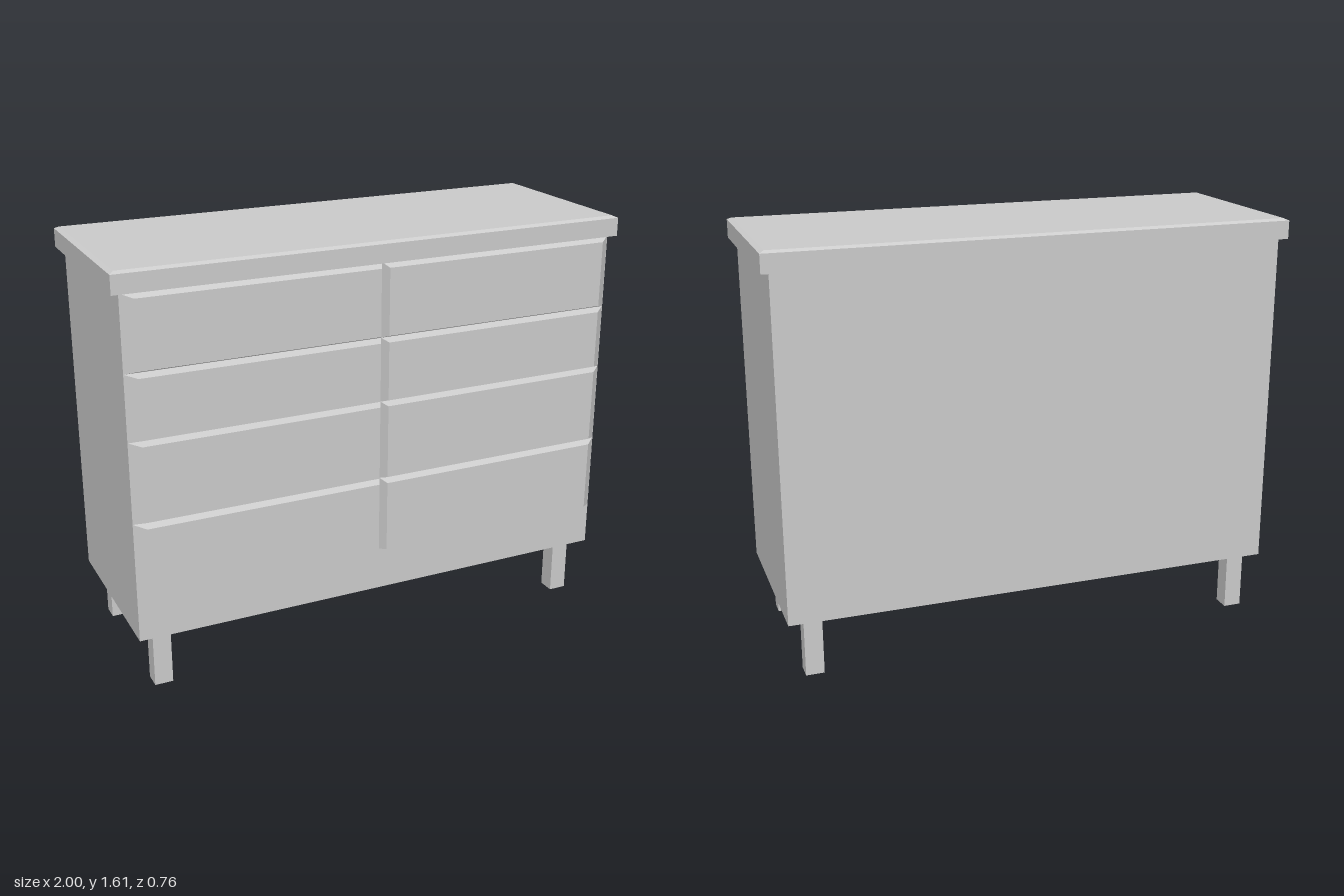
import * as THREE from 'three';

const material = new THREE.MeshStandardMaterial({ color: 0xcccccc, flatShading: true });
const openMaterial = new THREE.MeshStandardMaterial({ color: 0xcccccc, flatShading: true, side: THREE.DoubleSide });

// Box from [min, max] ranges; reshape(p) may move each corner
function block(name, x, y, z, reshape) {
  const g = new THREE.BoxGeometry(x[1] - x[0], y[1] - y[0], z[1] - z[0]);
  g.translate((x[0] + x[1]) / 2, (y[0] + y[1]) / 2, (z[0] + z[1]) / 2);
  if (reshape) {
    const pos = g.attributes.position;
    const p = new THREE.Vector3();
    for (let i = 0; i < pos.count; i++) {
      reshape(p.fromBufferAttribute(pos, i));
      pos.setXYZ(i, p.x, p.y, p.z);
    }
    g.computeVertexNormals();
  }
  const mesh = new THREE.Mesh(g, material);
  mesh.name = name;
  return mesh;
}

export function createModel() {
  const model = new THREE.Group();
  model.name = 'chestOfDrawers';

  // Carcass
  model.add(block('body', [-0.97, 0.97], [0.225, 1.53], [-0.36, 0.345]));

  // Top slab with a shallow bevel around its upper face
  model.add(block('topSlab', [-1, 1], [1.53, 1.6], [-0.38, 0.365]));
  model.add(block('topBevel', [-1, 1], [1.6, 1.608], [-0.38, 0.365], (p) => {
    if (p.y < 1.605) return;
    p.x -= Math.sign(p.x) * 0.017;
    p.z += p.z > 0 ? -0.018 : 0.016;
  }));

  // Drawer fronts, bevelled on all sides: [back bottom, back top, front bottom, front top]
  const rows = [
    [0.393, 0.692, 0.403, 0.68],
    [0.692, 1.0, 0.705, 0.99],
    [1.0, 1.248, 1.013, 1.237],
    [1.248, 1.53, 1.262, 1.515],
  ];
  for (const [y0, y1, f0, f1] of rows) {
    for (const side of [-1, 1]) {
      const x = side > 0 ? [-0.003, 0.97] : [-0.97, -0.003];
      model.add(block(side > 0 ? 'leftDrawer' : 'rightDrawer', x, [y0, y1], [0.344, 0.378], (p) => {
        if (p.z < 0.36) return;
        p.y = p.y < (y0 + y1) / 2 ? f0 : f1;
        if (Math.abs(p.x) > 0.5) p.x = side * 0.927;
        else p.x = side > 0 ? 0.014 : -0.02;
      }));
    }
  }

  // Square hollow legs, open at the ends
  for (const x of [-0.91, 0.84]) {
    for (const z of [-0.335, 0.235]) {
      const leg = block(z > 0 ? 'frontLeg' : 'backLeg', [x, x + 0.07], [0, 0.225], [z, z + 0.067]);
      const index = Array.from(leg.geometry.index.array);
      index.splice(12, 12); // drop top and bottom faces
      leg.geometry.setIndex(index);
      leg.geometry.clearGroups();
      leg.material = openMaterial;
      model.add(leg);
    }
  }
  return model;
}
